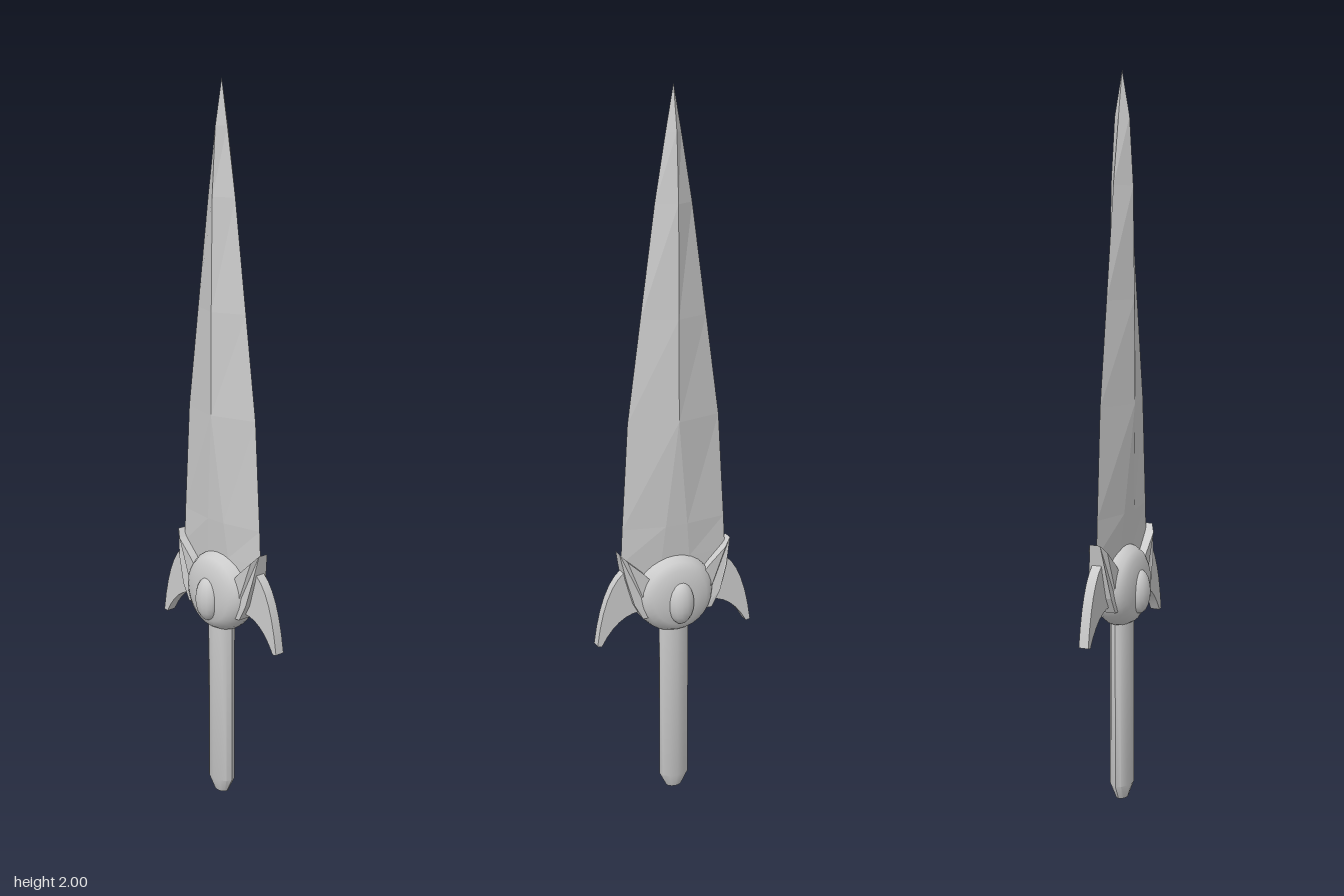
import * as THREE from 'three';
import { toCreasedNormals } from 'three/addons/utils/BufferGeometryUtils.js';

const smooth = new THREE.MeshStandardMaterial({ color: 0xcccccc });
const faceted = new THREE.MeshStandardMaterial({ color: 0xcccccc, flatShading: true });

const vec = (pairs) => pairs.map(([x, y]) => new THREE.Vector2(x, y));

// Loft of six-sided sections: [y, half width, half thickness, half width of flat]
function bladeGeometry(rows) {
  const rings = rows.map(([y, w, d, r]) =>
    [[w, 0], [r, d], [-r, d], [-w, 0], [-r, -d], [r, -d]].map(([x, z]) => new THREE.Vector3(x, y, z)));
  const points = [];
  const addTriangle = (a, b, c) => {
    if (new THREE.Triangle(a, b, c).getArea() > 1e-8) points.push(a, b, c);
  };
  for (let k = 0; k < rings.length - 1; k++) {
    for (let i = 0; i < 6; i++) {
      const j = (i + 1) % 6;
      addTriangle(rings[k][j], rings[k][i], rings[k + 1][i]);
      addTriangle(rings[k][j], rings[k + 1][i], rings[k + 1][j]);
    }
  }
  const geometry = new THREE.BufferGeometry().setFromPoints(points);
  geometry.computeVertexNormals();
  return geometry;
}

// Flat plate centred on z = 0
function plate(shape, depth) {
  return new THREE.ExtrudeGeometry(shape, { depth, bevelEnabled: false, curveSegments: 6 })
    .translate(0, 0, -depth / 2);
}

export function createModel() {
  const model = new THREE.Group();
  const add = (name, geometry, material, parent = model) => {
    const mesh = new THREE.Mesh(geometry, material);
    mesh.name = name;
    parent.add(mesh);
    return mesh;
  };

  // Blade: a ridge that splits into a narrow flat toward the hilt
  add('blade', bladeGeometry([
    [0.6, 0.09, 0.012, 0.05],
    [0.72, 0.158, 0.014, 0.042],
    [0.82, 0.153, 0.022, 0.032],
    [1.12, 0.134, 0.039, 0],
    [1.4, 0.095, 0.037, 0],
    [1.7, 0.053, 0.033, 0],
    [1.88, 0.022, 0.022, 0],
    [2, 0, 0, 0],
  ]), faceted);

  // Grip: oval rod with a tapered pommel
  const grip = new THREE.LatheGeometry(vec([[0, 0], [0.023, 0], [0.044, 0.042], [0.044, 0.54], [0, 0.54]]), 12);
  grip.scale(1, 1, 0.7);
  add('grip', toCreasedNormals(grip, 0.6), smooth);

  // Hub: full, flattened disc facing front and back
  const half = [[0.045, 0.058], [0.08, 0.051], [0.1, 0.038], [0.112, 0.018]];
  const hub = new THREE.LatheGeometry(vec([
    [0, -0.06], ...half.map(([r, z]) => [r, -z]), [0.115, 0],
    ...half.slice().reverse(), [0, 0.06],
  ]), 28);
  hub.rotateX(Math.PI / 2);
  add('hub', hub, smooth).position.y = 0.615;

  // Oval gems on both faces
  for (const side of [1, -1]) {
    const gem = new THREE.SphereGeometry(1, 14, 10);
    gem.scale(0.038, 0.062, 0.03);
    add(side > 0 ? 'frontGem' : 'backGem', gem, smooth).position.set(0, 0.6, side * 0.053);
  }

  // Curved, downswept fin
  const finShape = new THREE.Shape();
  finShape.moveTo(0.08, 0.575);
  finShape.lineTo(0.107, 0.577);
  finShape.quadraticCurveTo(0.175, 0.575, 0.222, 0.49);
  finShape.lineTo(0.235, 0.493);
  finShape.quadraticCurveTo(0.213, 0.655, 0.155, 0.7);
  finShape.lineTo(0.09, 0.68);
  const finGeometry = toCreasedNormals(plate(finShape, 0.028), 0.6);

  // Prong clasping the blade, thinner toward its outer edge
  const prongShape = new THREE.Shape(vec([
    [0.08, 0.56], [0.105, 0.56], [0.13, 0.605], [0.152, 0.68], [0.167, 0.757],
    [0.148, 0.735], [0.1, 0.692], [0.08, 0.67],
  ]));
  const prongGeometry = plate(prongShape, 0.06);
  const position = prongGeometry.attributes.position;
  for (let i = 0; i < position.count; i++) {
    const t = THREE.MathUtils.clamp((position.getX(i) - 0.145) / 0.022, 0, 1);
    position.setZ(i, position.getZ(i) * (1 - 0.5 * t));
  }
  prongGeometry.computeVertexNormals();

  // Guard halves, the second turned about the vertical axis
  for (const name of ['leftGuard', 'rightGuard']) {
    const guard = new THREE.Group();
    guard.name = name;
    guard.rotation.y = name === 'leftGuard' ? 0 : Math.PI;
    add('fin', finGeometry, smooth, guard);
    add('prong', prongGeometry, faceted, guard);
    model.add(guard);
  }
  return model;
}
